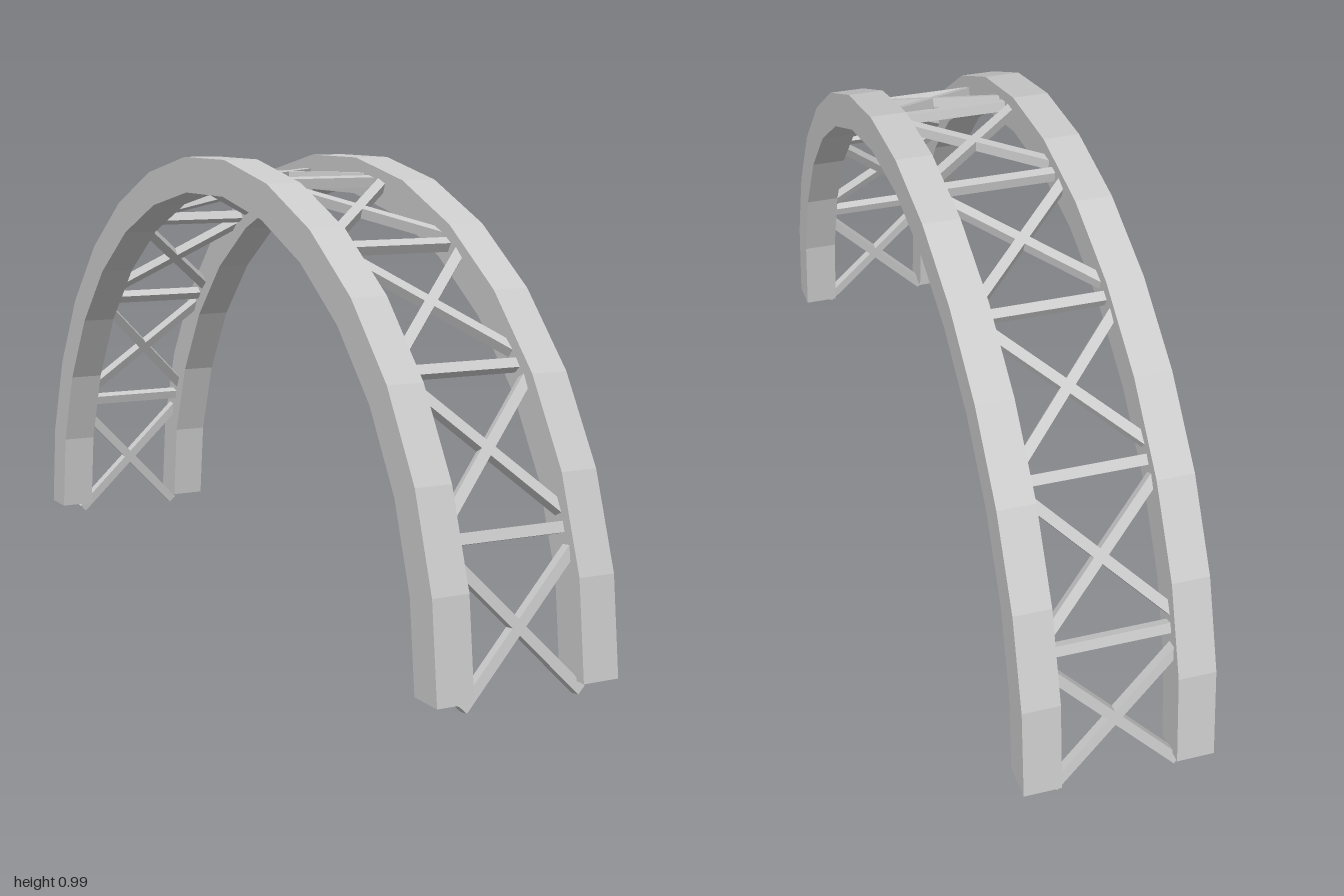
import * as THREE from 'three';

const BASE = 0.032;                 // height of the rail feet
const RAIL = 0.08;                  // rail section
const BAR = 0.022;                  // strut section
const BAY = THREE.MathUtils.degToRad(144 / 7);

export function createModel() {
  const model = new THREE.Group();
  model.name = 'trussArch';
  const material = new THREE.MeshStandardMaterial({ color: 0xcccccc, flatShading: true });

  const add = (parent, geometry, name) => {
    const mesh = new THREE.Mesh(geometry, material);
    mesh.name = name;
    parent.add(mesh);
    return mesh;
  };

  // Arch outline: 15 straight segments over a half ellipse
  const arc = (rz, ry) => Array.from({ length: 16 }, (_, i) => {
    const a = (i * Math.PI) / 15;
    return new THREE.Vector2(rz * Math.cos(a), BASE + ry * Math.sin(a));
  });
  const outline = new THREE.Shape([
    ...arc(1, 0.968),
    ...arc(1 - RAIL, 0.968 - RAIL).reverse(),
  ]);
  const railGeometry = new THREE.ExtrudeGeometry(outline, { depth: RAIL, bevelEnabled: false });
  railGeometry.translate(0, 0, -RAIL / 2).rotateY(Math.PI / 2);

  // Two parallel rails
  for (const side of [-1, 1]) {
    const rail = add(model, railGeometry, side > 0 ? 'leftRail' : 'rightRail');
    rail.position.x = side * 0.1625;
  }

  // Frame on the arch at an angle from the top: y points outward, z along the arch
  const station = (angle, scale, name) => {
    const group = new THREE.Group();
    group.name = name;
    group.position.set(0, BASE + 0.928 * scale * Math.cos(angle), 0.96 * scale * Math.sin(angle));
    group.rotation.x = angle;
    model.add(group);
    return group;
  };

  // Straight crossbars between the bays
  const crossbarGeometry = new THREE.BoxGeometry(0.28, BAR, BAR);
  for (let i = -3.5; i <= 3.5; i++) {
    add(station(i * BAY, 1, 'crossbarStation'), crossbarGeometry, 'crossbar');
  }

  // Crossed braces in every bay, including the open bays at the feet
  const braceGeometry = new THREE.BoxGeometry(BAR, BAR, 0.382);
  for (let i = -4; i <= 4; i++) {
    const foot = Math.abs(i) === 4;
    const bay = station(i * BAY + (foot ? Math.sign(i) * 0.009 : 0), foot ? 0.998 : 0.991, 'crossBrace');
    for (const side of [-1, 1]) {
      add(bay, braceGeometry, 'diagonalBrace').rotation.y = side * Math.atan(1 / 1.03);
    }
  }
  return model;
}
